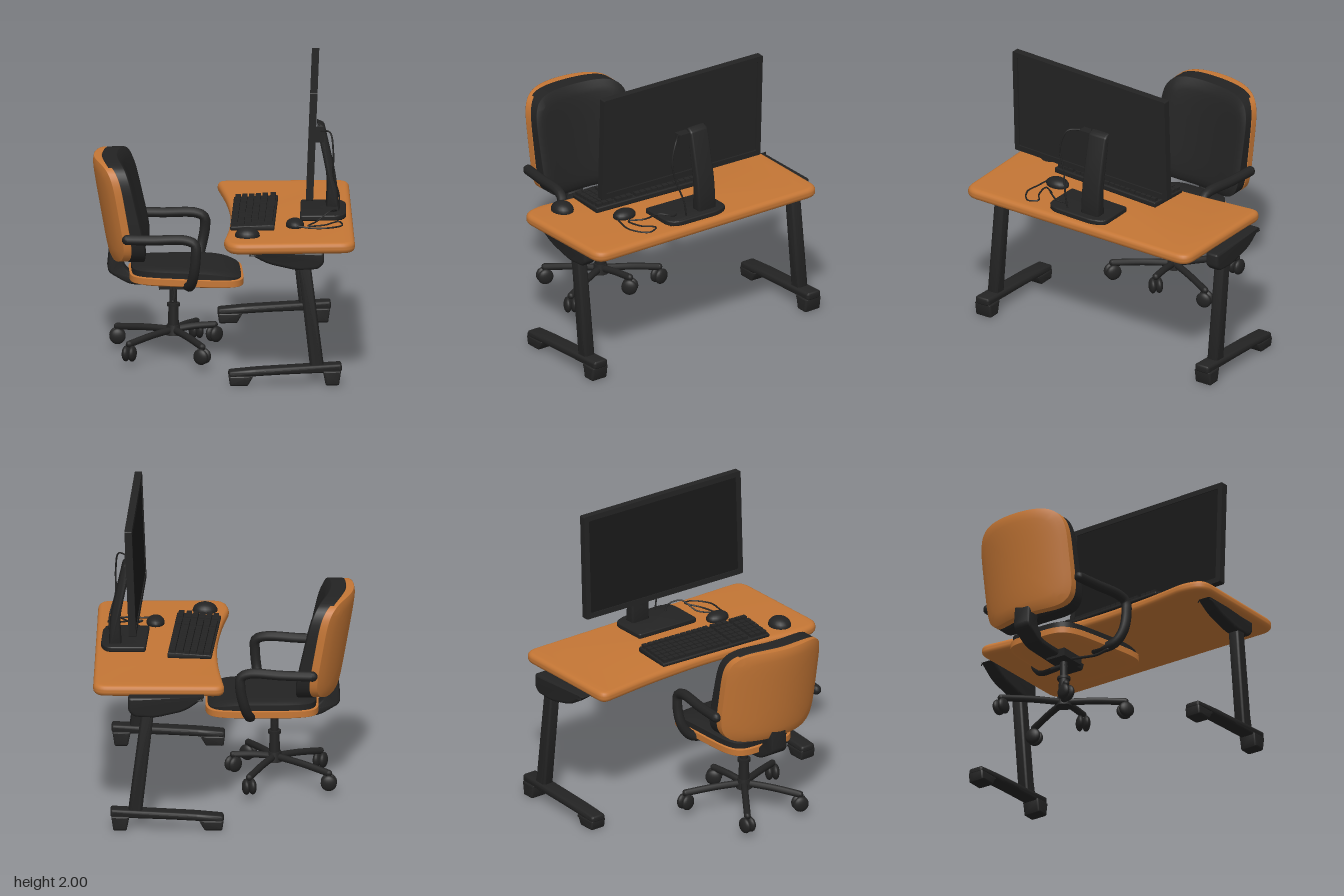
import * as THREE from 'three';
import { mergeGeometries, mergeVertices, toCreasedNormals } from 'three/addons/utils/BufferGeometryUtils.js';

const V = (p) => new THREE.Vector3(...p);

// polygon with rounded corners; points are [x, y, radius]
function roundedShape(pts) {
  const s = new THREE.Shape();
  const v = pts.map((p) => new THREE.Vector2(p[0], p[1]));
  v.forEach((c, i) => {
    const prev = v[(i + v.length - 1) % v.length], next = v[(i + 1) % v.length], r = pts[i][2] ?? 0.01;
    const a = prev.clone().sub(c).setLength(r).add(c), b = next.clone().sub(c).setLength(r).add(c);
    if (i === 0) s.moveTo(a.x, a.y); else s.lineTo(a.x, a.y);
    s.quadraticCurveTo(c.x, c.y, b.x, b.y);
  });
  s.closePath();
  return s;
}

// extrusion centred on z = 0 whose bevel stays inside the outline
function extrude(pts, depth, bevel) {
  const g = new THREE.ExtrudeGeometry(roundedShape(pts), {
    depth: depth - 2 * bevel, bevelThickness: bevel, bevelSize: bevel, bevelOffset: -bevel, bevelSegments: 4, curveSegments: 8,
  });
  g.translate(0, 0, bevel - depth / 2);
  return toCreasedNormals(g, 0.6);
}

// horizontal slab from an [x, z, radius] outline
function slab(pts, y0, y1, bevel) {
  return extrude(pts.map(([x, z, r]) => [x, -z, r]), y1 - y0, bevel).rotateX(-Math.PI / 2).translate(0, (y0 + y1) / 2, 0);
}

// padded panel: a subdivided cube rounded in its plane, thinned to its rim, then bent by fn
function pillow(depthAxis, rim, fn) {
  const g = new THREE.BoxGeometry(2, 2, 2, 20, 20, 20);
  g.deleteAttribute('uv');
  g.deleteAttribute('normal');
  const pos = g.attributes.position;
  const axes = [0, 1, 2].filter((k) => k !== depthAxis);
  for (let i = 0; i < pos.count; i++) {
    const p = [pos.getX(i), pos.getY(i), pos.getZ(i)];
    const a = Math.abs(p[axes[0]]), b = Math.abs(p[axes[1]]), m = Math.max(a, b);
    if (m > 0) {
      const s = m / Math.pow(a ** 5 + b ** 5, 0.2);
      axes.forEach((k) => { p[k] *= s; });
    }
    p[depthAxis] *= rim + (1 - rim) * Math.sqrt(1 - Math.min(1, m ** 5));
    pos.setXYZ(i, ...fn(...p));
  }
  const out = mergeVertices(g, 1e-4);
  out.computeVertexNormals();
  return out;
}

export function createModel() {
  const model = new THREE.Group();
  const black = new THREE.MeshStandardMaterial({ color: 0x232323 });
  black.name = 'charcoal black';
  const orange = new THREE.MeshStandardMaterial({ color: 0xc47635 });
  orange.name = 'warm wood orange';
  const dark = new THREE.MeshStandardMaterial({ color: 0x191919 });
  dark.name = 'screen black';

  const add = (name, geo, mat = black, parent = model) => {
    const m = new THREE.Mesh(geo, mat);
    m.name = name;
    parent.add(m);
    return m;
  };
  const group = (name, parent = model) => {
    const g = new THREE.Group();
    g.name = name;
    parent.add(g);
    return g;
  };
  const box = (w, h, d, x, y, z) => new THREE.BoxGeometry(w, h, d).translate(x, y, z);
  const cyl = (r0, r1, y0, y1, x, z) => new THREE.CylinderGeometry(r1, r0, y1 - y0, 20).translate(x, (y0 + y1) / 2, z);
  const ball = (x, y, z, rx, ry, rz) => new THREE.SphereGeometry(1, 20, 14).scale(rx, ry, rz).translate(x, y, z);
  // round bar with ball ends
  const tube = (pts, r, segs = 40, sides = 10) => {
    const curve = new THREE.CatmullRomCurve3(pts.map(V));
    const ends = [pts[0], pts[pts.length - 1]].map((p) => new THREE.SphereGeometry(r, sides, 8).translate(...p));
    return mergeGeometries([new THREE.TubeGeometry(curve, segs, r, sides), ...ends]);
  };

  // ---- desk ----
  const desk = group('desk');
  add('deskTop', slab([[-0.01, -0.885, 0.08], [0.89, -0.875, 0.1], [0.86, 0.985, 0.1], [0, 0.995, 0.1],
    [-0.03, 0.82, 0.05], [0.02, 0.5, 0.15], [0.055, 0.05, 0.2], [0.04, -0.4, 0.18]], 0.925, 1.0, 0.032), orange, desk);
  [['frontLeg', 0.895, 0.925], ['backLeg', -0.915, 0.945]].forEach(([name, z, top]) => {
    const leg = group(name, desk);
    leg.position.z = z;
    add('foot', extrude([[0, 0.055, 0.015], [0, 0.1, 0.02], [0.2, 0.118, 0.05], [0.77, 0.148, 0.02],
      [0.77, 0.09, 0.02], [0.35, 0.075, 0.1]], 0.115, 0.02), black, leg);
    add('frontPad', extrude([[0.01, 0], [0.13, 0], [0.17, 0.07], [0, 0.07]], 0.12, 0.015), black, leg);
    add('rearPad', extrude([[0.66, 0], [0.75, 0], [0.765, 0.1], [0.64, 0.1]], 0.13, 0.015), black, leg);
    add('column', extrude([[0.555, 0.12], [0.65, 0.12], [0.56, 0.83], [0.475, 0.83]], 0.085, 0.02), black, leg);
    add('bracket', extrude([[0.13, top], [0.65, top, 0.02], [0.65, 0.85, 0.02], [0.61, 0.81, 0.02],
      [0.47, 0.8, 0.05], [0.26, 0.85, 0.06]], 0.1, 0.02), black, leg);
  });

  // ---- monitor ----
  const monitor = group('monitor');
  const head = group('monitorHead', monitor);
  head.position.set(0.605, 1.62, 0.1);
  head.rotation.set(0, -0.05, -0.04);
  const frame = roundedShape([[-0.65, -0.378], [0.65, -0.378], [0.65, 0.378], [-0.65, 0.378]]);
  frame.holes.push(roundedShape([[-0.612, -0.34], [-0.612, 0.34], [0.612, 0.34], [0.612, -0.34]]));
  add('bezel', new THREE.ExtrudeGeometry(frame, { depth: 0.05, bevelEnabled: false })
    .translate(0, 0, -0.025).rotateY(Math.PI / 2), black, head);
  add('rearPanel', box(0.026, 0.69, 1.24, 0, 0, 0), black, head);
  add('screen', box(0.006, 0.68, 1.224, -0.016, 0, 0), dark, head);
  add('standMount', box(0.09, 0.09, 0.09, 0.635, 1.55, 0.11), black, monitor);
  add('standColumn', extrude([[0.7, 1.03], [0.785, 1.03], [0.77, 1.24, 0.08], [0.69, 1.6, 0.02],
    [0.64, 1.62], [0.65, 1.52], [0.71, 1.22, 0.08]], 0.145, 0.015), black, monitor);
  add('standBase', slab([[0.535, -0.145, 0.02], [0.8, -0.145, 0.04], [0.84, -0.06, 0.05], [0.825, 0.28, 0.05],
    [0.77, 0.335, 0.04], [0.51, 0.33, 0.02]], 1.0, 1.038, 0.01), black, monitor);
  add('monitorCable', tube([[0.66, 1.59, 0.16], [0.72, 1.59, 0.22], [0.74, 1.45, 0.27], [0.74, 1.3, 0.24],
    [0.78, 1.15, 0.2], [0.78, 1.03, 0.18]], 0.006, 40, 6), black, monitor);

  // ---- keyboard, mouse and speaker puck ----
  const keyboard = group('keyboard');
  keyboard.position.set(0.205, 1.0, 0.155);
  keyboard.rotation.y = -0.07;
  add('keyboardBody', extrude([[-0.15, 0], [0.15, 0], [0.15, 0.04], [-0.15, 0.025]], 0.87, 0.006), black, keyboard);
  const keys = [];
  for (let r = 0; r < 6; r++) {
    for (let c = 0; c < 18; c++) {
      if (r === 0 && c > 3 && c < 8) continue;
      const z = -0.405 + c * 0.045 + (c > 11 ? 0.02 : 0) + (c > 14 ? 0.02 : 0);
      keys.push(box(0.036, 0.03, 0.037, -0.12 + r * 0.046 + (r > 4 ? 0.008 : 0), 0.032 + r * 0.0028, z));
    }
  }
  keys.push(box(0.036, 0.03, 0.17, -0.12, 0.032, -0.157));
  add('keys', mergeGeometries(keys), black, keyboard);
  add('mouse', ball(0.47, 1.012, 0.475, 0.062, 0.045, 0.085));
  add('mouseCable', tube([[0.48, 1.02, 0.55], [0.56, 1.01, 0.57], [0.68, 1.01, 0.58], [0.79, 1.01, 0.5],
    [0.77, 1.02, 0.43], [0.67, 1.01, 0.49], [0.56, 1.01, 0.51], [0.62, 1.02, 0.42], [0.72, 1.08, 0.36],
    [0.76, 1.06, 0.28], [0.7, 1.03, 0.2]], 0.006, 80, 6));
  add('puck', ball(0.135, 1.005, 0.75, 0.085, 0.058, 0.075));

  // ---- chair ----
  const chair = group('chair');
  const back = (name, mat, x0, half, lean, bend, rim, w, h) => add(name, pillow(0, rim, (d, v, u) => [
    x0 - lean * v + bend * u * u - 0.03 * u + half * d, 1.055 + h * v, 0.015 + w * u]), mat, chair);
  back('backShell', orange, -0.79, 0.045, 0.062, 0.12, 0.6, 0.375, 0.352);
  back('backCushion', black, -0.69, 0.085, 0.08, 0.07, 0.6, 0.368, 0.355);
  const seat = (name, mat, y0, half, k, drop, rim) => add(name, pillow(1, rim, (a, d, b) => [
    -0.255 + 0.385 * k * a, y0 + half * d - drop * Math.max(0, a - 0.2) ** 2,
    0.07 + 0.035 * a + k * (0.305 + 0.04 * a) * b]), mat, chair);
  seat('seatShell', orange, 0.582, 0.04, 1, 0, 0.55);
  seat('seatCushion', black, 0.625, 0.048, 0.96, 0.055, 0.5);

  add('leftArmrest', tube([[-0.67, 0.905, 0.435], [-0.5, 0.905, 0.455], [-0.27, 0.908, 0.48], [-0.21, 0.88, 0.492],
    [-0.205, 0.8, 0.497], [-0.22, 0.66, 0.48], [-0.24, 0.575, 0.42], [-0.26, 0.555, 0.28]], 0.035), black, chair);
  add('rightArmrest', tube([[-0.6, 0.905, -0.375], [-0.4, 0.905, -0.355], [-0.17, 0.908, -0.325], [-0.115, 0.88, -0.32],
    [-0.11, 0.8, -0.325], [-0.14, 0.66, -0.31], [-0.17, 0.575, -0.25], [-0.2, 0.555, -0.1]], 0.035), black, chair);
  add('backSupport', extrude([[-0.77, 0.8], [-0.79, 0.6, 0.04], [-0.64, 0.51, 0.05], [-0.15, 0.49, 0.02],
    [-0.13, 0.55], [-0.6, 0.56, 0.04], [-0.68, 0.64, 0.04], [-0.66, 0.8]], 0.13, 0.015).translate(0, 0, 0.03), black, chair);
  add('tiltBox', box(0.2, 0.06, 0.15, -0.34, 0.515, 0.07), black, chair);
  add('heightLever', tube([[-0.34, 0.5, 0.12], [-0.34, 0.48, 0.25], [-0.35, 0.465, 0.35], [-0.36, 0.475, 0.45]], 0.01, 20, 8), black, chair);
  add('knob', new THREE.CylinderGeometry(0.018, 0.018, 0.12, 14).rotateX(Math.PI / 2).translate(-0.34, 0.46, 0.03), black, chair);
  add('gasLift', cyl(0.026, 0.026, 0.2, 0.5, -0.34, 0.07), black, chair);
  add('liftSleeve', cyl(0.038, 0.034, 0.18, 0.36, -0.34, 0.07), black, chair);
  add('liftCollar', cyl(0.045, 0.045, 0.355, 0.375, -0.34, 0.07), black, chair);
  add('hub', cyl(0.055, 0.045, 0.155, 0.225, -0.34, 0.07), black, chair);

  // five spokes, each ending in a twin-wheel caster
  [[-0.06, 0.15, 0.03], [-0.16, 0.095, 0.455], [-0.17, 0.095, -0.3], [-0.65, 0.085, 0.31], [-0.71, 0.09, -0.19]].forEach(([x, y, z]) => {
    const spoke = group('spoke', chair);
    add('spokeArm', tube([[-0.34, 0.19, 0.07], [(x - 0.34) / 2, (y + 0.255) / 2 + 0.005, (z + 0.07) / 2], [x, y + 0.062, z]], 0.024, 12), black, spoke);
    add('casterStem', cyl(0.014, 0.014, y, y + 0.07, x, z), black, spoke);
    const caster = group('caster', spoke);
    caster.position.set(x, y, z);
    caster.rotation.y = Math.atan2(x + 0.34, z - 0.07) + 0.6;
    [-0.022, 0.022].forEach((o) => add('wheel', ball(o, -0.003, 0, 0.028, 0.055, 0.055), black, caster));
  });

  return model;
}
